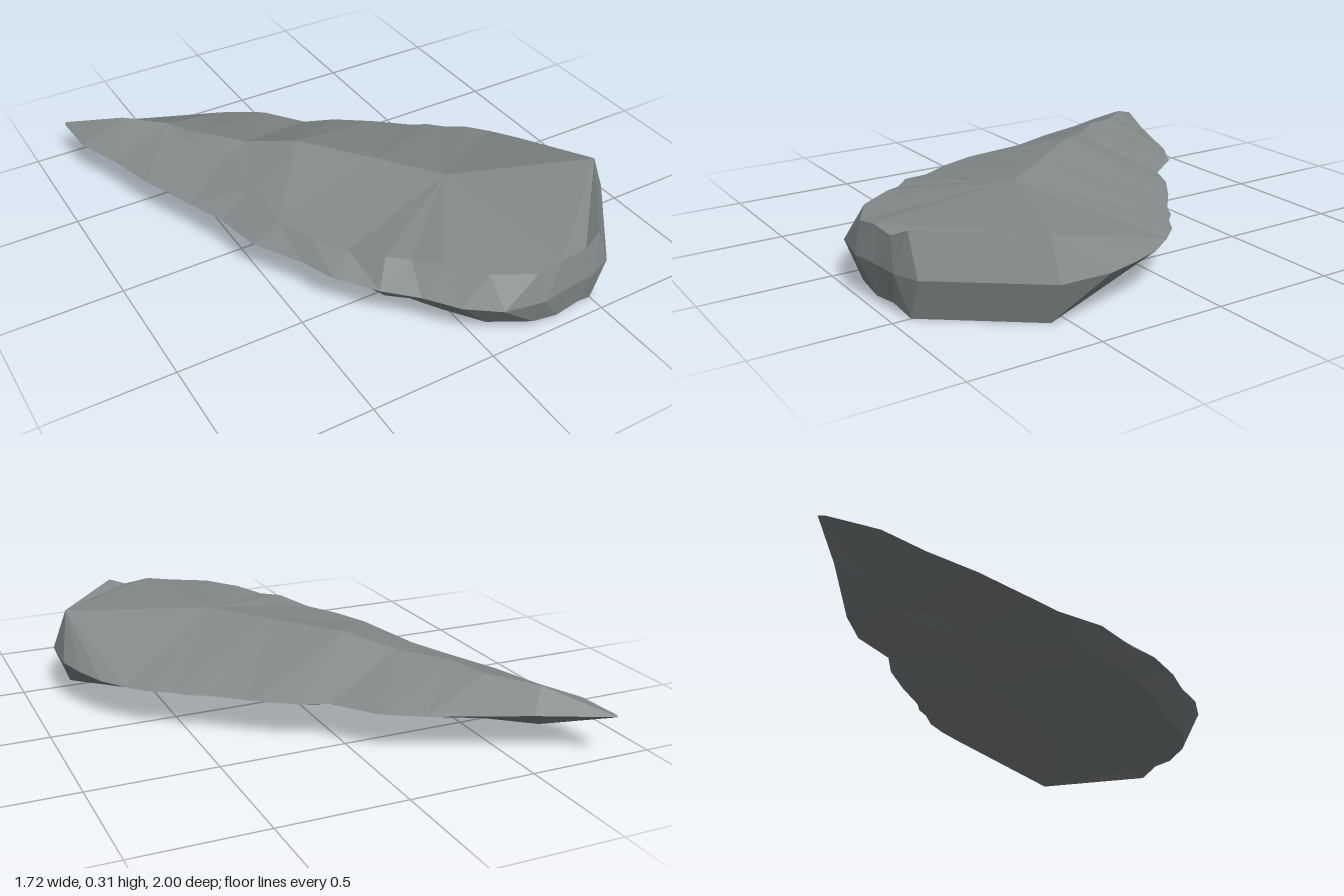
import * as THREE from 'three';

const MID = 0.158; // height of the sharp rim; both faces mirror about it

// Rim corners as [x, z], from the tip along each side
const rim = (pts) => pts.map(([x, z]) => new THREE.Vector3(x, MID, z));
const rightRim = rim([
  [-0.85, -1], [-0.58, -0.87], [-0.22, -0.72], [-0.07, -0.63], [0.05, -0.47], [0.17, -0.42],
  [0.31, -0.32], [0.44, -0.21], [0.5, -0.18], [0.55, -0.13], [0.63, -0.08], [0.7, 0],
  [0.77, 0.1], [0.82, 0.23], [0.855, 0.36],
]);
const leftRim = rim([
  [-0.85, -1], [-0.86, -0.98], [-0.85, -0.79], [-0.78, -0.61], [-0.72, -0.4], [-0.63, -0.17],
  [-0.57, -0.02], [-0.53, 0.18], [-0.42, 0.37], [-0.37, 0.5], [-0.26, 0.65], [-0.15, 0.76],
  [-0.06, 0.88], [0.06, 0.97], [0.22, 1], [0.35, 0.98], [0.46, 0.97], [0.56, 0.93],
  [0.85, 0.56], [0.855, 0.36],
]);

// Raised creases as [x, y, z]
const raised = (pts) => pts.map((p) => new THREE.Vector3(...p));
const tipRidge = raised([[-0.85, MID, -1], [-0.66, 0.235, -0.79], [-0.52, 0.25, -0.63]]);
const mainRidge = raised([
  [-0.52, 0.25, -0.63], [-0.45, 0.265, -0.48], [-0.31, 0.27, -0.31], [-0.16, 0.315, -0.15],
  [0.05, 0.315, 0.12], [0.22, 0.315, 0.35], [0.79, 0.315, 0.56],
]);
const bevelEdge = raised([
  [-0.52, 0.25, -0.63], [-0.49, 0.235, -0.46], [-0.4, 0.245, -0.3], [-0.41, 0.235, -0.05],
  [-0.42, 0.22, 0.18], [-0.36, 0.22, 0.34], [-0.28, 0.225, 0.46], [-0.2, 0.25, 0.59],
  [-0.13, 0.25, 0.65], [-0.05, 0.27, 0.74], [0.05, 0.27, 0.88], [0.2, 0.27, 0.965],
  [0.31, 0.29, 0.965], [0.42, 0.28, 0.955], [0.5, 0.315, 0.93], [0.79, 0.315, 0.56],
]);

// Joins two polylines with triangles, always taking the shorter cross edge
function zip(a, b, out) {
  let i = 0, j = 0;
  while (i < a.length - 1 || j < b.length - 1) {
    const stepA = j === b.length - 1 ||
      (i < a.length - 1 && a[i + 1].distanceTo(b[j]) <= a[i].distanceTo(b[j + 1]));
    const tri = stepA ? [a[i], b[j], a[++i]] : [a[i], b[j], b[++j]];
    const normal = tri[1].clone().sub(tri[0]).cross(tri[2].clone().sub(tri[0]));
    if (normal.length() < 1e-7) continue;
    if (normal.y < 0) tri.reverse();
    out.push(tri);
  }
}

function faceMesh(name, triangles, mirrored, material) {
  const pos = [];
  for (const tri of triangles) {
    const corners = mirrored ? [...tri].reverse() : tri;
    for (const p of corners) pos.push(p.x, mirrored ? 2 * MID - p.y : p.y, p.z);
  }
  const geometry = new THREE.BufferGeometry();
  geometry.setAttribute('position', new THREE.Float32BufferAttribute(pos, 3));
  geometry.computeVertexNormals();
  const mesh = new THREE.Mesh(geometry, material);
  mesh.name = name;
  return mesh;
}

export function createModel() {
  const group = new THREE.Group();
  group.name = 'flintBlade';
  const material = new THREE.MeshStandardMaterial({ color: 0x848a8a, flatShading: true });

  // Three chipped regions, each repeated upside down on the underside
  const regions = { flank: [], crown: [], bevel: [] };
  zip(rightRim, [...tipRidge, ...mainRidge.slice(1)], regions.flank);
  zip(mainRidge, bevelEdge, regions.crown);
  zip(leftRim, [...tipRidge, ...bevelEdge.slice(1)], regions.bevel);

  for (const [name, triangles] of Object.entries(regions)) {
    group.add(faceMesh(name + 'Top', triangles, false, material));
    group.add(faceMesh(name + 'Underside', triangles, true, material));
  }
  return group;
}
